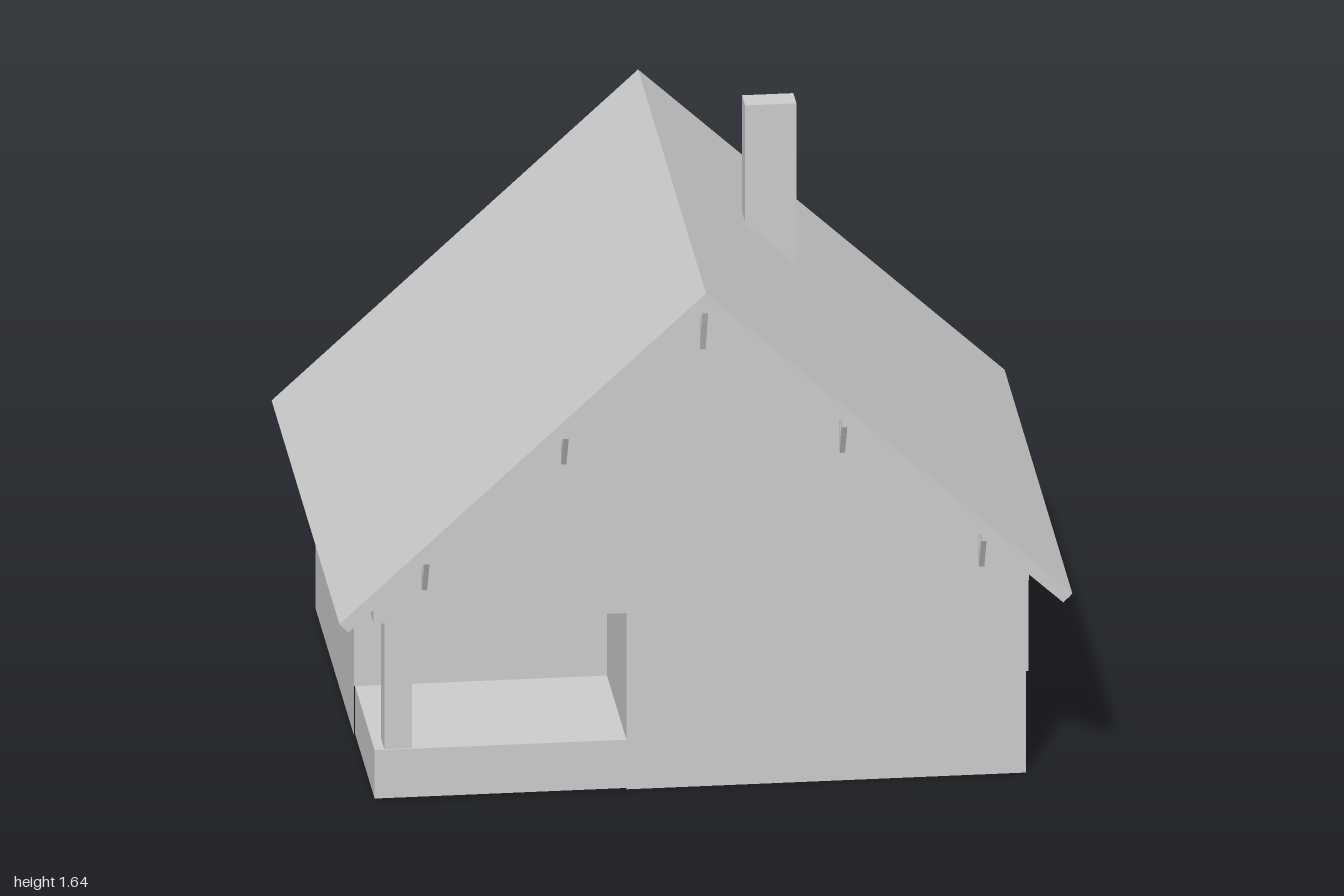
import * as THREE from 'three';

const material = new THREE.MeshStandardMaterial({ color: 0xcccccc, flatShading: true });
const sheet = new THREE.MeshStandardMaterial({ color: 0xcccccc, flatShading: true, side: THREE.DoubleSide });

const W = 0.89, FRONT = 0.76, BACK = -0.64, GABLE = 0.83; // wall planes
const SILL = 0.59, SLOPE = 0.92, RIDGE = 1.5;
const PORCH_X = -0.2, PORCH_Z = 0.29, PORCH_FLOOR = 0.145, PORCH_TOP = 0.515;
const underRoof = x => RIDGE - 0.024 - SLOPE * Math.abs(x);

const shapeOf = points => new THREE.Shape(points.map(p => new THREE.Vector2(...p)));

export function createModel() {
  const model = new THREE.Group();

  function add(name, geometry, mat = material) {
    const mesh = new THREE.Mesh(geometry, mat);
    mesh.name = name;
    model.add(mesh);
    return mesh;
  }
  // Box from its minimum and maximum corners
  function box(name, [x0, y0, z0], [x1, y1, z1]) {
    add(name, new THREE.BoxGeometry(x1 - x0, y1 - y0, z1 - z0))
      .position.set((x0 + x1) / 2, (y0 + y1) / 2, (z0 + z1) / 2);
  }
  // Thin wall facing z, with points as (x, y)
  function wallZ(name, z, points) {
    add(name, new THREE.ShapeGeometry(shapeOf(points)), sheet).position.z = z;
  }
  // Thin wall facing x, with points as (z, y)
  function wallX(name, x, points) {
    add(name, new THREE.ShapeGeometry(shapeOf(points)).rotateY(-Math.PI / 2), sheet).position.x = x;
  }
  // Thin horizontal panel
  function panel(name, y, x0, x1, z0, z1) {
    add(name, new THREE.PlaneGeometry(x1 - x0, z1 - z0).rotateX(-Math.PI / 2), sheet)
      .position.set((x0 + x1) / 2, y, (z0 + z1) / 2);
  }
  // Profile in the xy plane, extruded from z0 to z1
  function prism(name, points, z0, z1) {
    add(name, new THREE.ExtrudeGeometry(shapeOf(points), { depth: z1 - z0, bevelEnabled: false }))
      .position.z = z0;
  }

  // House walls, open underneath
  const top = underRoof(W);
  wallZ('frontWall', FRONT, [[PORCH_X, 0], [W, 0], [W, SILL], [-W, SILL], [-W, PORCH_TOP], [PORCH_X, PORCH_TOP]]);
  wallZ('backWall', BACK, [[-W, 0], [W, 0], [W, top], [0, underRoof(0)], [-W, top]]);
  wallX('leftWall', W, [[BACK, 0], [FRONT, 0], [FRONT, SILL], [GABLE, SILL], [GABLE, top], [BACK, top]]);
  wallX('rightWall', -W, [[BACK, 0], [PORCH_Z, 0], [PORCH_Z, PORCH_TOP], [FRONT, PORCH_TOP],
    [FRONT, SILL], [GABLE, SILL], [GABLE, top], [BACK, top]]);

  // Front gable, jutting slightly over the wall below
  wallZ('frontGable', GABLE, [[-W, SILL], [W, SILL], [W, top], [0, underRoof(0)], [-W, top]]);
  panel('gableLedge', SILL, -W, W, FRONT, GABLE);

  // Corner porch
  box('porchFloor', [-W + 0.003, 0.004, PORCH_Z], [PORCH_X, PORCH_FLOOR, FRONT]);
  wallZ('porchBackWall', PORCH_Z, [[-W, PORCH_FLOOR], [PORCH_X, PORCH_FLOOR], [PORCH_X, PORCH_TOP], [-W, PORCH_TOP]]);
  wallX('porchSideWall', PORCH_X, [[PORCH_Z, PORCH_FLOOR], [FRONT, PORCH_FLOOR], [FRONT, PORCH_TOP], [PORCH_Z, PORCH_TOP]]);
  panel('porchCeiling', PORCH_TOP, -W, PORCH_X, PORCH_Z, FRONT);
  box('porchPost', [-0.86, PORCH_FLOOR, 0.68], [-0.785, PORCH_TOP, 0.755]);

  // Main roof
  prism('roof', [[0, RIDGE], [-1, 0.578], [-0.988, 0.565], [0, 1.476], [0.988, 0.565], [1, 0.578]], -0.73, 0.91);

  // Rafters, including the pairs at both roof ends
  const rafter = [[0, 1.478], [-0.988, 0.566], [-0.975, 0.553], [0, 1.45], [0.975, 0.553], [0.988, 0.566]];
  for (const z of [0.904, 0.68, 0.46, 0.25, 0.06, -0.15, -0.36, -0.56, -0.724]) {
    prism('rafter', rafter, z - 0.006, z + 0.006);
  }

  // Braces under the front roof overhang
  for (const x of [-0.76, -0.38, 0, 0.38, 0.76]) {
    const height = x === 0 ? 0.14 : 0.11, reach = 0.07, t = 0.013;
    const y = RIDGE - 0.05 - SLOPE * Math.abs(x);
    const brace = shapeOf([[0, 0], [0, -height], [t, -height], [reach, -t], [reach, 0]]);
    brace.holes.push(new THREE.Path([[t, -t], [reach - 0.022, -t], [t, -height + 0.036]]
      .map(p => new THREE.Vector2(...p))));
    const geometry = new THREE.ExtrudeGeometry(brace, { depth: 0.014, bevelEnabled: false });
    add('gableBrace', geometry.rotateY(-Math.PI / 2)).position.set(x + 0.007, y, GABLE);
  }

  // Chimney and projecting side bay
  box('chimney', [0.22, 1.15, -0.165], [0.36, 1.64, -0.09]);
  box('sideBay', [W, 0.07, -0.45], [0.96, 0.59, 0.2]);

  // Back annex with its own small gable roof
  prism('annex', [[-0.26, 0.008], [0.26, 0.008], [0.26, 0.655], [0, 0.858], [-0.26, 0.655]], -0.87, BACK);
  prism('annexRoof', [[0, 0.9], [-0.305, 0.663], [-0.305, 0.62], [0, 0.857], [0.305, 0.62], [0.305, 0.663]], -0.91, BACK);

  return model;
}
